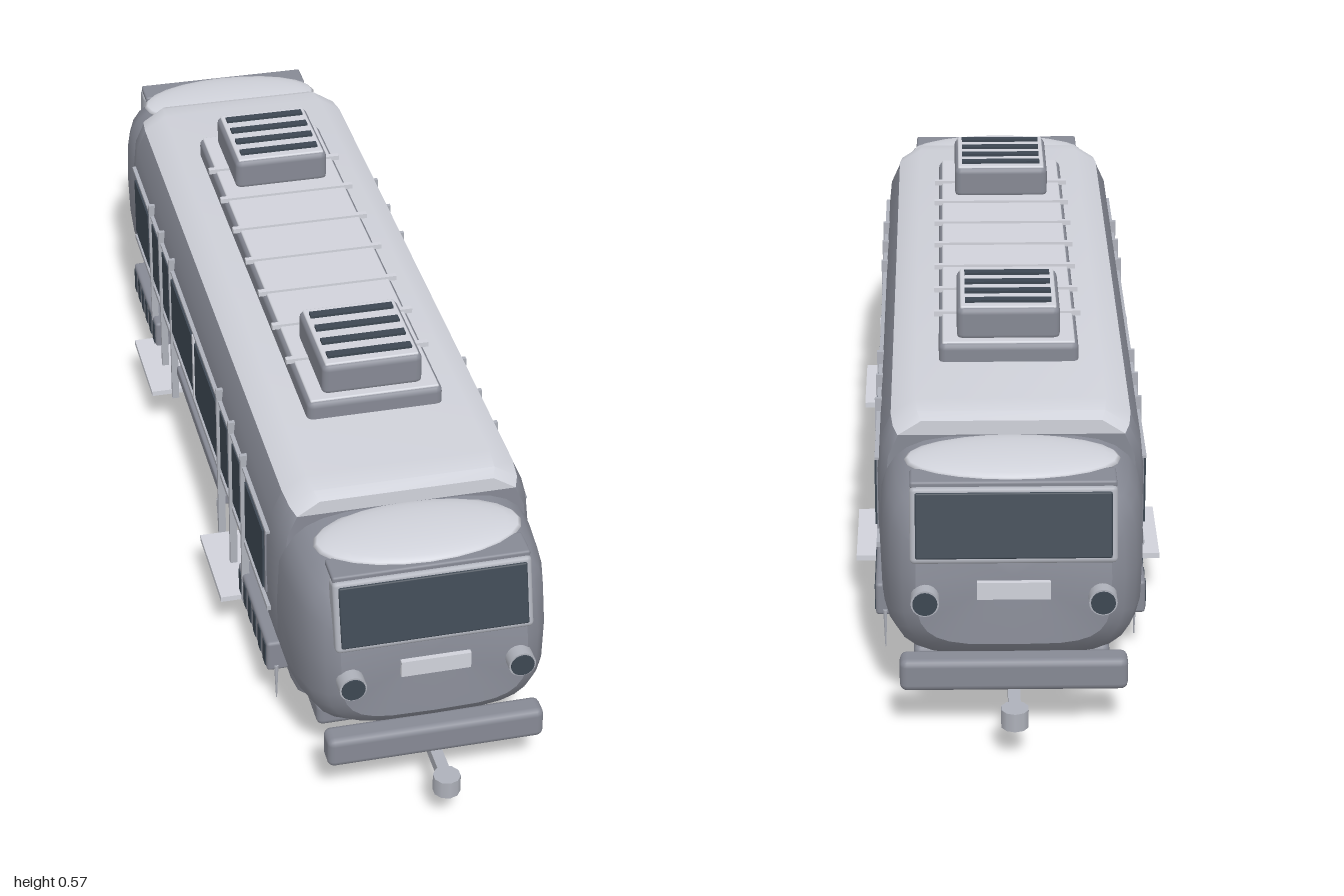
import * as THREE from 'three';
import { toCreasedNormals } from 'three/addons/utils/BufferGeometryUtils.js';
import { RoundedBoxGeometry } from 'three/addons/geometries/RoundedBoxGeometry.js';

function material(name, color) {
  const m = new THREE.MeshStandardMaterial({ color });
  m.name = name;
  return m;
}

// Skin a row of closed rings (counter-clockwise seen from +z, z increasing) and cap both ends.
function loft(rings, crease) {
  const n = rings[0].length, pos = [];
  const tri = (...pts) => pts.forEach(p => pos.push(p.x, p.y, p.z));
  for (let i = 0; i < rings.length - 1; i++) {
    for (let j = 0; j < n; j++) {
      const k = (j + 1) % n;
      const a = rings[i][j], b = rings[i][k], c = rings[i + 1][k], d = rings[i + 1][j];
      tri(a, b, c);
      tri(a, c, d);
    }
  }
  const cap = (ring, front) => {
    const mid = ring.reduce((s, p) => s.add(p), new THREE.Vector3()).divideScalar(n);
    ring.forEach((p, j) => {
      const q = ring[(j + 1) % n];
      if (front) tri(mid, p, q); else tri(mid, q, p);
    });
  };
  cap(rings[0], false);
  cap(rings[rings.length - 1], true);
  const g = new THREE.BufferGeometry();
  g.setAttribute('position', new THREE.Float32BufferAttribute(pos, 3));
  g.computeVertexNormals();
  return toCreasedNormals(g, crease);
}

// Long hull from the +x half of a cross-section, drawn in slightly towards both ends.
function hull(half, length) {
  const outline = [...half, ...half.map(([x, y]) => [-x, y]).reverse()];
  const stations = [[-1, 0.94], [-0.97, 0.98], [-0.91, 1], [0.91, 1], [0.97, 0.98], [1, 0.94]];
  return loft(stations.map(([t, s]) =>
    outline.map(([x, y]) => new THREE.Vector3(x * s, 0.26 + (y - 0.26) * s, t * length))), 0.6);
}

export function createModel() {
  const root = new THREE.Group();
  root.name = 'tram';
  const paint = material('body grey', 0x868994);
  const light = material('light grey', 0xd0d2da);
  const trim = material('trim grey', 0xaeb1ba);
  const glass = material('dark glass', 0x3d4752);
  const under = material('underframe grey', 0x74767f);

  const add = (parent, name, geo, mat, x = 0, y = 0, z = 0) => {
    const m = new THREE.Mesh(geo, mat);
    m.name = name;
    m.position.set(x, y, z);
    parent.add(m);
    return m;
  };
  // Box given by its limits on each axis; r rounds the edges.
  const box = (parent, name, mat, x0, x1, y0, y1, z0, z1, r = 0) => {
    const w = x1 - x0, h = y1 - y0, d = z1 - z0;
    const geo = r ? new RoundedBoxGeometry(w, h, d, 2, r) : new THREE.BoxGeometry(w, h, d);
    return add(parent, name, geo, mat, (x0 + x1) / 2, (y0 + y1) / 2, (z0 + z1) / 2);
  };

  // Main body with a light roof skin over its shoulders
  add(root, 'body', hull([[0.185, 0.05], [0.188, 0.09], [0.205, 0.13], [0.218, 0.18], [0.222, 0.26],
    [0.222, 0.35], [0.216, 0.41], [0.198, 0.45], [0.157, 0.475]], 0.69), paint);
  add(root, 'roof', hull([[0.199, 0.4505], [0.158, 0.477]], 0.6915), light);
  box(root, 'floor', under, -0.18, 0.18, 0.044, 0.052, -0.64, 0.64);

  // Roof equipment: grey sides with light tops
  box(root, 'roofDeck', paint, -0.119, 0.119, 0.465, 0.51, -0.475, 0.475, 0.012);
  box(root, 'roofDeckTop', light, -0.113, 0.113, 0.505, 0.5115, -0.469, 0.469, 0.003);
  for (let i = -3; i <= 3; i++) {
    const z = i * 0.1125;
    box(root, 'roofRib', light, -0.127, 0.127, 0.507, 0.516, z - 0.005, z + 0.005);
  }
  for (const s of [-1, 1]) {
    const c = s * 0.358;
    box(root, 'roofUnit', paint, -0.088, 0.088, 0.505, 0.566, c - 0.095, c + 0.095, 0.012);
    box(root, 'roofUnitTop', light, -0.082, 0.082, 0.561, 0.5675, c - 0.089, c + 0.089, 0.003);
    for (let i = 0; i < 4; i++) {
      const z = c + (i - 1.5) * 0.043;
      box(root, 'roofSlat', glass, -0.074, 0.074, 0.564, 0.572, z - 0.008, z + 0.008);
    }
  }

  // Sides
  for (const s of [-1, 1]) {
    const side = new THREE.Group();
    side.name = s > 0 ? 'leftSide' : 'rightSide';
    side.rotation.y = s > 0 ? 0 : Math.PI;
    root.add(side);
    const pane = (z0, z1, y0, y1) => {
      box(side, 'windowFrame', paint, 0.21, 0.2245, y0 - 0.006, y1 + 0.006, z0 - 0.006, z1 + 0.006);
      box(side, 'window', glass, 0.2195, 0.228, y0, y1, z0, z1);
    };
    box(side, 'upperRail', trim, 0.216, 0.227, 0.366, 0.371, -0.63, 0.63);
    box(side, 'lowerRail', trim, 0.214, 0.226, 0.205, 0.214, -0.63, 0.63);
    box(side, 'lowerPanel', paint, 0.2, 0.221, 0.135, 0.157, -0.22, 0.22, 0.004);
    box(side, 'windowPost', light, 0.218, 0.229, 0.23, 0.365, -0.005, 0.005);
    for (const e of [-1, 1]) {
      const span = (a, b) => e > 0 ? [a, b] : [-b, -a];
      pane(...span(0.012, 0.218), 0.236, 0.355);
      pane(...span(0.247, 0.309), 0.237, 0.362);
      pane(...span(0.352, 0.416), 0.237, 0.362);
      pane(...span(0.46, 0.605), 0.236, 0.355);
      for (const z of [0.226, 0.331, 0.434]) {
        box(side, 'doorPost', trim, 0.217, 0.23, 0.08, 0.394, e * z - 0.004, e * z + 0.004);
      }
      box(side, 'doorStep', light, 0.18, 0.267, 0.079, 0.089, ...span(0.24, 0.43));
      box(side, 'ventPanel', paint, 0.19, 0.229, 0.08, 0.14, ...span(0.4, 0.64), 0.006);
      for (let i = 0; i < 6; i++) {
        const z = e * (0.42 + i * 0.04);
        box(side, 'ventSlot', glass, 0.224, 0.2305, 0.087, 0.132, z - 0.01, z + 0.01);
      }
    }
    for (const z of [0.6, -0.14, -0.64]) {
      add(side, 'hangingRod', new THREE.CylinderGeometry(0.004, 0.001, 0.07, 6), trim, 0.213, 0.056, z);
    }
  }

  // Cab ends, built facing +z and turned for the rear
  const cabSections = [ // z, half width, bottom, top, backward lean of the upper part
    [0.6, 0.216, 0.065, 0.445, 0], [0.71, 0.218, 0.08, 0.436, 0], [0.78, 0.213, 0.095, 0.43, 0.03],
    [0.84, 0.2, 0.112, 0.422, 0.12], [0.875, 0.18, 0.135, 0.41, 0.22], [0.893, 0.158, 0.158, 0.39, 0.26],
  ];
  const power = t => Math.sign(t) * Math.abs(t) ** 0.5;
  const cabRings = cabSections.map(([z, w, y0, y1, lean]) =>
    Array.from({ length: 28 }, (_, i) => {
      const a = i / 28 * Math.PI * 2;
      const y = (y0 + y1) / 2 + power(Math.sin(a)) * (y1 - y0) / 2;
      return new THREE.Vector3(w * power(Math.cos(a)), y, z - lean * Math.max(0, y - 0.25));
    }));
  const cabGeo = loft(cabRings, 0.6);

  for (const s of [1, -1]) {
    const end = new THREE.Group();
    end.name = s > 0 ? 'frontEnd' : 'rearEnd';
    end.rotation.y = s > 0 ? 0 : Math.PI;
    root.add(end);
    add(end, 'cab', cabGeo, paint);

    // Tilted windscreen
    const screen = new THREE.Group();
    screen.name = 'windscreen';
    screen.position.set(0, 0.359, 0.862);
    screen.rotation.x = -0.245;
    end.add(screen);
    box(screen, 'screenFrame', trim, -0.167, 0.167, -0.063, 0.063, -0.022, 0.014, 0.008);
    box(screen, 'screenGlass', glass, -0.158, 0.158, -0.054, 0.054, 0.0105, 0.0175, 0.003);

    // Flattened dome and brow above the windscreen
    const dome = add(end, 'cabDome', new THREE.SphereGeometry(1, 24, 12), light, 0, 0.428, 0.762);
    dome.scale.set(0.176, 0.019, 0.086);
    box(end, 'brow', paint, -0.166, 0.166, 0.418, 0.43, 0.8, 0.855, 0.004);

    // Headlamps and plate
    for (const x of [-0.143, 0.143]) {
      const tube = new THREE.CylinderGeometry(0.023, 0.023, 0.065, 20).rotateX(Math.PI / 2);
      add(end, 'headlamp', tube, trim, x, 0.241, 0.878);
      add(end, 'headlampLens', new THREE.CylinderGeometry(0.02, 0.02, 0.006, 20).rotateX(Math.PI / 2),
        glass, x, 0.241, 0.91);
    }
    box(end, 'frontPlate', light, -0.059, 0.059, 0.241, 0.271, 0.888, 0.897);

    // Bumper and coupler
    box(end, 'bumper', paint, -0.185, 0.185, 0.082, 0.138, 0.868, 0.914, 0.012);
    box(end, 'couplerBar', trim, -0.01, 0.01, 0.064, 0.085, 0.89, 0.975);
    add(end, 'couplerHead', new THREE.CylinderGeometry(0.023, 0.023, 0.032, 10), trim, 0, 0.072, 0.977);

    // Running gear
    box(end, 'bogie', paint, -0.164, 0.164, 0.027, 0.073, 0.31, 0.742, 0.012);
    for (const x of [-0.083, 0.083]) {
      box(end, 'runner', light, x - 0.025, x + 0.025, 0, 0.03, 0.35, 0.706, 0.006);
    }
  }
  return root;
}
